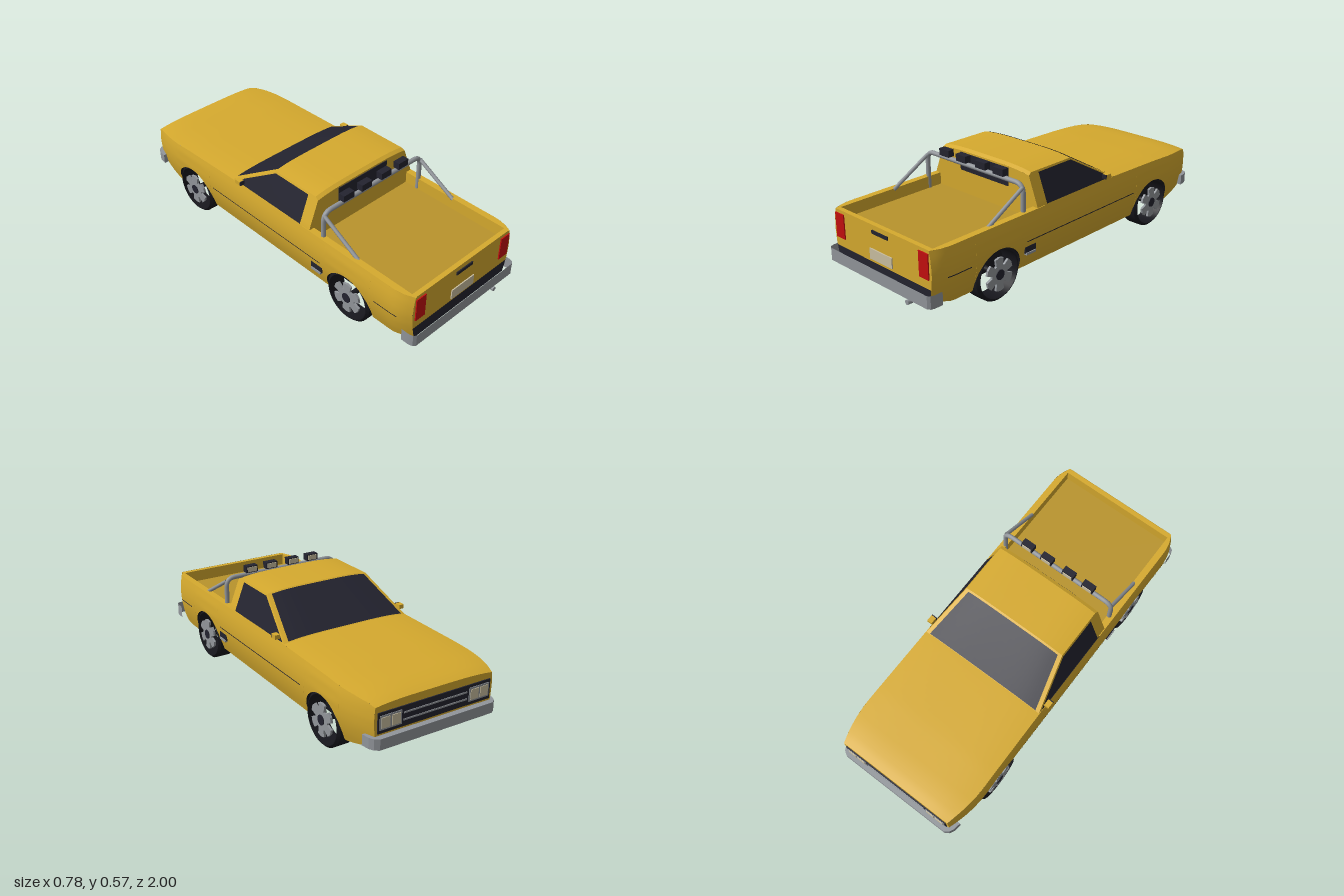
import * as THREE from 'three';
import { toCreasedNormals } from 'three/addons/utils/BufferGeometryUtils.js';

const material = (name, color, side = THREE.DoubleSide) => {
  const m = new THREE.MeshStandardMaterial({ color, side });
  m.name = name;
  return m;
};
const paint = material('yellow paint', 0xd6aa2e);
const bedPaint = material('bed paint', 0xb9942c);
const dark = material('dark glass and trim', 0x23232f);
const rubber = material('black rubber', 0x17171d);
const metal = material('grey metal', 0x92969b);
const red = material('red lens', 0xc40f0f);
const cream = material('cream lens', 0xcbc0a2);

// Piecewise linear lookup through [position, value] pairs
function lerpTable(table, t) {
  if (t <= table[0][0]) return table[0][1];
  for (let i = 1; i < table.length; i++) {
    const [a, va] = table[i - 1], [b, vb] = table[i];
    if (t <= b) return va + (vb - va) * (t - a) / (b - a);
  }
  return table[table.length - 1][1];
}
const steps = (a, b, n) => Array.from({ length: n + 1 }, (_, i) => a + (b - a) * i / n);

// Body rules: the nose points to -z, the tailgate to +z
const NOSE = -0.97, TAIL = 0.96, ARCH = 0.15, ARCH_Y = 0.12;
const wheelZ = [0.57, -0.615];
const profile = y => lerpTable([[0.1, 0.345], [0.16, 0.364], [0.22, 0.376], [0.28, 0.38], [0.34, 0.375], [0.385, 0.365]], y);
const taper = z => 1 - 0.12 * Math.max(0, (-0.72 - z) / 0.25) ** 2 - 0.08 * Math.max(0, (z - 0.85) / 0.11) ** 2;
const halfWidth = (y, z) => profile(y) * taper(z);
const beltY = z => lerpTable([[NOSE, 0.345], [-0.93, 0.357], [-0.85, 0.366], [-0.65, 0.376], [-0.27, 0.385]], z);
const sillY = z => lerpTable([[NOSE, 0.15], [-0.78, 0.1], [0.84, 0.1], [TAIL, 0.14]], z);
const lowerY = z => wheelZ.reduce((y, c) => {
  const d = Math.abs(z - c);
  return d <= ARCH ? Math.max(y, ARCH_Y + Math.sqrt(ARCH * ARCH - d * d)) : y;
}, sillY(z));
const crown = (u, h) => h * (1 - u ** 4);

// Cab rules
const roofY = z => lerpTable([[-0.27, 0.387], [0, 0.545], [0.28, 0.546], [0.3, 0.535]], z);
const cabWidth = y => 0.362 - Math.max(0, y - 0.385) * 0.39;

export function createModel() {
  const model = new THREE.Group();
  model.name = 'pickupTruck';

  const add = (name, geometry, mat, x = 0, y = 0, z = 0) => {
    const mesh = new THREE.Mesh(geometry, mat);
    mesh.name = name;
    mesh.position.set(x, y, z);
    model.add(mesh);
    return mesh;
  };
  const box = (name, mat, w, h, d, x, y, z) => add(name, new THREE.BoxGeometry(w, h, d), mat, x, y, z);
  // Grid panel from two parameter lists and a rule
  const panel = (name, mat, us, vs, rule) => {
    const pos = [], idx = [], n = vs.length;
    us.forEach(u => vs.forEach(v => pos.push(...rule(u, v))));
    for (let i = 0; i < us.length - 1; i++) for (let j = 0; j < n - 1; j++) {
      const a = i * n + j, b = a + n;
      idx.push(a, b, a + 1, b, b + 1, a + 1);
    }
    const g = new THREE.BufferGeometry();
    g.setAttribute('position', new THREE.Float32BufferAttribute(pos, 3));
    g.setIndex(idx);
    return add(name, toCreasedNormals(g, 0.42), mat);
  };

  const across = steps(-1, 1, 16), rows = steps(0, 1, 10);
  const bodyZ = [...steps(NOSE, -0.78, 8), ...steps(-0.45, 0.4, 6), ...steps(0.74, TAIL, 10)];
  for (const c of wheelZ) {
    bodyZ.push(c - ARCH - 0.001, c + ARCH + 0.001);
    steps(0, Math.PI, 24).forEach(a => bodyZ.push(c + Math.cos(a) * ARCH));
  }
  bodyZ.sort((a, b) => a - b);

  // Body shell
  for (const s of [1, -1]) {
    panel('bodySide', paint, bodyZ, rows, (z, t) => {
      const y = lowerY(z) + (beltY(z) - lowerY(z)) * t;
      return [s * halfWidth(y, z), y, z];
    });
    panel('bedRail', paint, steps(0.25, TAIL, 14), [0, 1], (z, t) => {
      const outer = halfWidth(0.385, z);
      return [s * (Math.min(0.33, outer) * (1 - t) + outer * t), 0.385, z];
    });
    panel('bedInnerWall', paint, [0.3, 0.94], [0.32, 0.385], (z, y) => [s * 0.33, y, z]);
  }
  panel('hood', paint, steps(NOSE, -0.22, 24), across, (z, u) =>
    [u * halfWidth(beltY(z), z), beltY(z) + crown(u, 0.012), z]);
  const endCap = (name, mat, z, y0, y1) => panel(name, mat, steps(y0, y1, 5), across, (y, u) =>
    [u * halfWidth(y, z), y, z]);
  endCap('nose', paint, NOSE, 0.19, 0.345);
  panel('noseLip', paint, [0, 1], across, (t, u) =>
    [u * halfWidth(0.345, NOSE), 0.345 + t * crown(u, 0.012), NOSE]);
  endCap('noseLower', dark, NOSE, 0.14, 0.19);
  endCap('tailgate', paint, TAIL, 0.195, 0.385);
  endCap('tailLower', dark, TAIL, 0.13, 0.195);
  panel('underside', rubber, bodyZ, [-1, -0.68, 0.68, 1], (z, u) => {
    const y = sillY(z), w = lowerY(z) > y + 0.005 ? 0.25 : halfWidth(y, z);
    return [u * w, y - (Math.abs(u) < 1 ? 0.01 : 0), z];
  });

  // Load bed
  box('bedFloor', bedPaint, 0.66, 0.01, 0.64, 0, 0.317, 0.62);
  box('tailgateTop', paint, 0.66, 0.067, 0.025, 0, 0.3515, 0.945);
  box('tailgateHandle', dark, 0.114, 0.017, 0.008, 0, 0.353, TAIL + 0.002);
  box('plate', cream, 0.16, 0.055, 0.008, 0, 0.237, TAIL + 0.002);

  // Cab
  const cabZ = [...steps(-0.27, 0, 8), ...steps(0.03, 0.27, 5), 0.28, 0.29, 0.3];
  panel('roof', paint, cabZ, across, (z, u) => [u * cabWidth(roofY(z)), roofY(z) + crown(u, 0.014), z]);
  panel('cabBack', paint, rows, across, (t, u) => {
    const y = 0.315 + t * (roofY(0.3) - 0.315 + crown(u, 0.014));
    return [u * Math.min(cabWidth(y), cabWidth(0.315 + t * 0.22)), y, 0.3];
  });
  panel('windshield', dark, steps(-0.268, -0.01, 8), across, (z, u) => {
    const w = cabWidth(roofY(z)), x = u * (w - 0.022);
    return [x, roofY(z) + crown(x / w, 0.014) + 0.003, z - 0.001];
  });
  box('rearWindow', dark, 0.336, 0.095, 0.006, 0, 0.4925, 0.301);
  for (const s of [1, -1]) {
    panel('cabSide', paint, cabZ, rows, (z, t) => {
      const y = 0.38 + (roofY(z) - 0.38) * t;
      return [s * cabWidth(y), y, z];
    });
    panel('sideWindow', dark, [...steps(-0.25, 0, 6), 0.01, 0.235], rows, (z, t) => {
      const y = 0.389 + (Math.min(0.537, roofY(z) - 0.008) - 0.389) * t;
      return [s * (cabWidth(y) + 0.003), y, z];
    });
    box('mirror', paint, 0.028, 0.022, 0.036, s * 0.374, 0.41, -0.208);
    box('mirrorGlass', dark, 0.028, 0.022, 0.006, s * 0.374, 0.41, -0.188);
  }

  // Side trim, tail lights and headlights
  for (const s of [1, -1]) {
    for (const [a, b] of [[-0.44, 0.39], [0.75, 0.89]])
      panel('pinstripe', dark, steps(a, b, 8), [0.243, 0.248], (z, y) => [s * (halfWidth(y, z) + 0.002), y, z]);
    box('sideVent', dark, 0.012, 0.032, 0.075, s * 0.371, 0.202, 0.365);
    box('sideStep', metal, 0.016, 0.012, 0.065, s * 0.374, 0.182, 0.365);
    box('tailLight', red, 0.063, 0.127, 0.008, s * 0.3015, 0.3065, TAIL + 0.002);
    box('headlightFrame', metal, 0.118, 0.07, 0.008, s * 0.25, 0.268, NOSE - 0.005);
    for (const x of [0.222, 0.278]) box('headlight', cream, 0.046, 0.052, 0.008, s * x, 0.268, NOSE - 0.008);
  }
  box('grille', dark, 0.635, 0.1, 0.008, 0, 0.267, NOSE - 0.002);
  for (const y of [0.25, 0.285]) box('grilleBar', metal, 0.36, 0.008, 0.008, 0, y, NOSE - 0.005);

  // Bumpers
  const plan = [[0.36, -0.92], [0.354, -0.96], [0.342, -0.985], [0.32, -1]];
  const outline = [...plan, ...plan.map(([x, z]) => [-x, z]).reverse()].map(p => new THREE.Vector2(...p));
  add('frontBumper', new THREE.ExtrudeGeometry(new THREE.Shape(outline), { depth: 0.055, bevelEnabled: false })
    .rotateX(Math.PI / 2), metal, 0, 0.205, 0);
  const wrap = [[0.37, 0.92], [0.37, 0.965], [0.364, 0.985], [0.35, 0.995]];
  panel('rearBumper', metal, [...wrap, ...wrap.map(([x, z]) => [-x, z]).reverse()], [0.12, 0.186],
    ([x, z], y) => [x, y, z]);
  add('exhaust', new THREE.CylinderGeometry(0.012, 0.012, 0.16, 12).rotateX(Math.PI / 2), metal, 0.217, 0.105, 0.92);

  // Roll bar with lamps
  const bar = new THREE.CurvePath();
  const v = (x, y, z = 0.375) => new THREE.Vector3(x, y, z);
  bar.add(new THREE.LineCurve3(v(-0.338, 0.32), v(-0.338, 0.473)));
  bar.add(new THREE.QuadraticBezierCurve3(v(-0.338, 0.473), v(-0.338, 0.522), v(-0.288, 0.522)));
  bar.add(new THREE.LineCurve3(v(-0.288, 0.522), v(0.288, 0.522)));
  bar.add(new THREE.QuadraticBezierCurve3(v(0.288, 0.522), v(0.338, 0.522), v(0.338, 0.473)));
  bar.add(new THREE.LineCurve3(v(0.338, 0.473), v(0.338, 0.32)));
  add('rollBar', new THREE.TubeGeometry(bar, 80, 0.0125, 10), metal);
  for (const s of [1, -1]) {
    const brace = new THREE.LineCurve3(v(s * 0.336, 0.505, 0.378), v(s * 0.336, 0.375, 0.61));
    add('rollBarBrace', new THREE.TubeGeometry(brace, 1, 0.01, 10), metal);
  }
  for (const x of [-0.19, -0.068, 0.068, 0.19]) {
    box('roofLamp', dark, 0.068, 0.036, 0.036, x, 0.552, 0.377);
    box('roofLampLens', cream, 0.054, 0.026, 0.006, x, 0.552, 0.358);
  }

  // Wheels with open tyres, spoked rims and dark arch liners
  const tyreProfile = [[0.122, -0.05], [0.126, -0.05], [0.138, -0.038], [0.138, 0.038], [0.126, 0.05], [0.122, 0.05], [0.122, -0.05]];
  const tyre = toCreasedNormals(new THREE.LatheGeometry(tyreProfile.map(p => new THREE.Vector2(...p)), 36)
    .rotateZ(Math.PI / 2), 0.5);
  const star = [];
  for (let k = 0; k < 6; k++)
    for (const [r, d] of [[0.05, -0.42], [0.084, -0.31], [0.087, 0], [0.084, 0.31], [0.05, 0.42]]) {
      const a = Math.PI / 2 + k * Math.PI / 3 + d;
      star.push(new THREE.Vector2(r * Math.cos(a), r * Math.sin(a)));
    }
  const rim = new THREE.ExtrudeGeometry(new THREE.Shape(star), { depth: 0.012, bevelEnabled: false })
    .rotateY(Math.PI / 2).translate(-0.006, 0, 0);
  const hub = new THREE.CylinderGeometry(0.026, 0.026, 0.02, 16).rotateZ(Math.PI / 2);
  for (const c of wheelZ) {
    add('axle', new THREE.CylinderGeometry(0.014, 0.014, 0.72, 10).rotateZ(Math.PI / 2), rubber, 0, 0.138, c);
    for (const s of [1, -1]) {
      add('tyre', tyre, rubber, s * 0.32, 0.138, c);
      add('rim', rim, metal, s * 0.368, 0.138, c);
      add('hub', hub, dark, s * 0.368, 0.138, c);
      panel('archLiner', rubber, steps(0, Math.PI, 24), [0, 1], (a, t) => {
        const y = ARCH_Y + ARCH * Math.sin(a), z = c + ARCH * Math.cos(a);
        return [s * (0.25 + t * (halfWidth(y, z) - 0.25)), y, z];
      });
      box('archInnerWall', rubber, 0.004, 0.175, 0.3, s * 0.25, 0.183, c);
    }
  }
  return model;
}
